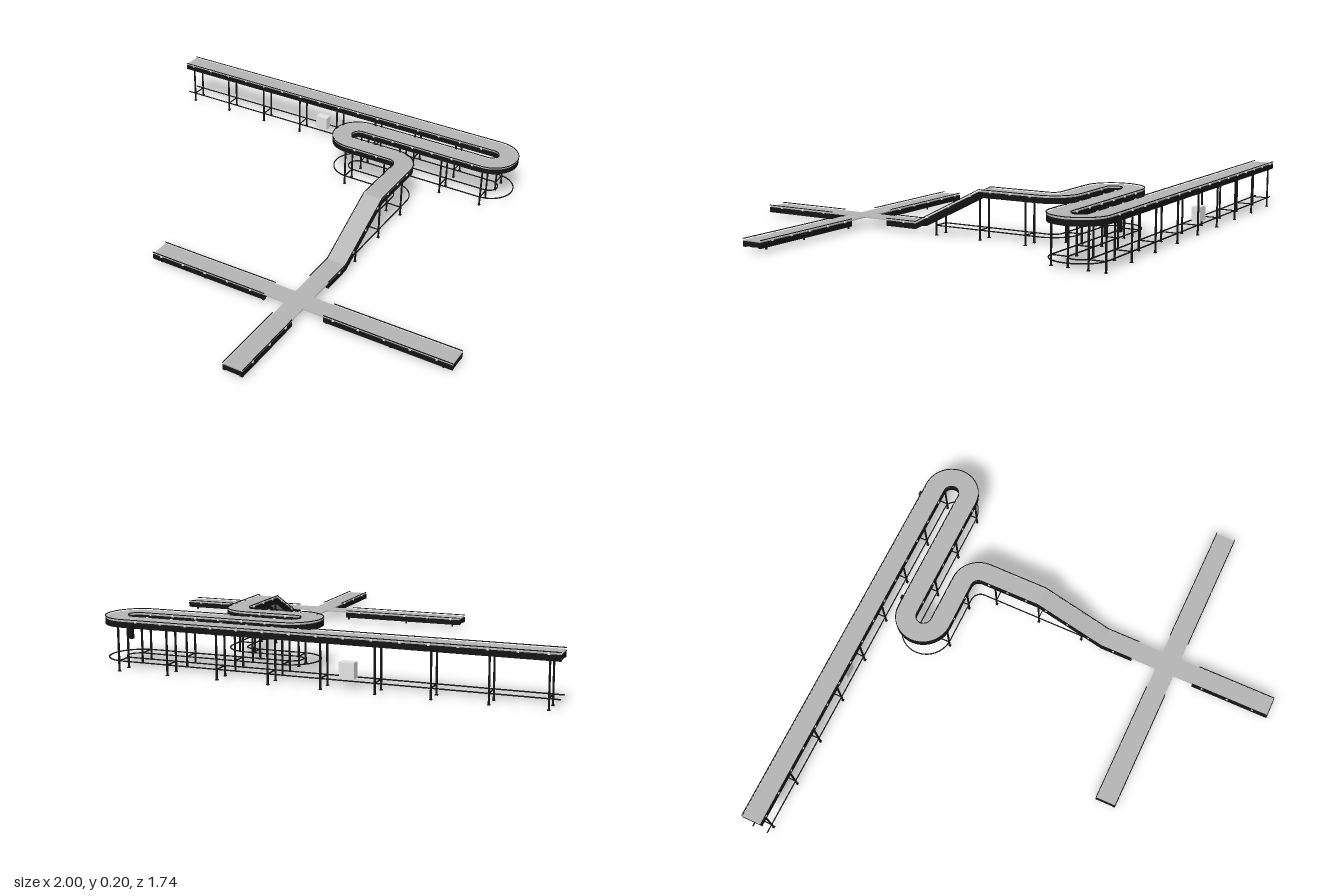
import * as THREE from 'three';
import { toCreasedNormals } from 'three/addons/utils/BufferGeometryUtils.js';

const HIGH = 0.197, LOW = 0.047, HALF = 0.0425, LEG = 0.033;
const LINE_X = 0.342, CROSS_Z = 0.4045;

// Sweep a rectangle (side range s0..s1, height range y0..y1) along a path of Vector3
function sweep(path, s0, s1, y0, y1) {
  const section = [[s0, y0], [s1, y0], [s1, y1], [s0, y1]];
  const pos = [], idx = [], n = path.length;
  path.forEach((p, i) => {
    const a = path[Math.max(i - 1, 0)], b = path[Math.min(i + 1, n - 1)];
    const t = new THREE.Vector2(b.x - a.x, b.z - a.z).normalize();
    for (const [s, y] of section) pos.push(p.x - t.y * s, p.y + y, p.z + t.x * s);
  });
  for (let i = 0; i < n - 1; i++) {
    for (let j = 0; j < 4; j++) {
      const a = i * 4 + j, b = i * 4 + (j + 1) % 4, c = b + 4, d = a + 4;
      idx.push(a, d, c, a, c, b);
    }
  }
  const e = (n - 1) * 4;
  idx.push(0, 1, 2, 0, 2, 3, e, e + 2, e + 1, e, e + 3, e + 2);
  const g = new THREE.BufferGeometry();
  g.setAttribute('position', new THREE.Float32BufferAttribute(pos, 3));
  g.setIndex(idx);
  return toCreasedNormals(g, 0.4);
}

export function createModel() {
  const model = new THREE.Group();
  model.name = 'conveyorSystem';
  const material = (name, color) => {
    const m = new THREE.MeshStandardMaterial({ color });
    m.name = name;
    return m;
  };
  const beltGrey = material('beltGrey', 0xb6b6b6);
  const frameBlack = material('frameBlack', 0x151515);
  const paleGrey = material('paleGrey', 0xe4e4e4);

  const add = (name, geometry, mat, x = 0, y = 0, z = 0) => {
    const mesh = new THREE.Mesh(geometry, mat);
    mesh.name = name;
    mesh.position.set(x, y, z);
    model.add(mesh);
    return mesh;
  };
  const box = (name, mat, w, h, d, x, y, z) => add(name, new THREE.BoxGeometry(w, h, d), mat, x, y, z);
  const V = (x, y, z) => new THREE.Vector3(x, y, z);

  // Arc points on the ground plan; angle 0 points to +x, positive turns to +z
  const arc = (cx, cz, from, to, steps) => Array.from({ length: steps + 1 }, (_, i) => {
    const a = from + (to - from) * i / steps;
    return V(cx + 0.075 * Math.cos(a), HIGH, cz + 0.075 * Math.sin(a));
  });

  // Centre line of the winding raised conveyor, at guide rail height
  const H = Math.PI / 2;
  const winding = [
    V(-0.998, HIGH, -0.8125),
    ...arc(0.6215, -0.7375, -H, H, 20),
    ...arc(0.0575, -0.5875, -H, -3 * H, 20),
    ...arc(LINE_X - 0.075, -0.4375, -H, 0, 10),
    V(LINE_X, HIGH, -0.18),
  ];
  const mainFrame = [...winding, V(LINE_X, LOW, 0.115), V(LINE_X, LOW, 0.255)];
  const at = x => V(x, LOW, CROSS_Z);

  // Belts, which run on through the crossing
  const belt = (path, drop) => add('belt', sweep(path, -0.0405, 0.0405, -0.008 - drop, -0.004 - drop), beltGrey);
  belt([...mainFrame, V(LINE_X, LOW, 0.865)], 0);
  belt([at(-0.313), at(0.998)], 0.0004);

  // Side frames with inward flanges, guide rails, end ties and rail brackets
  const frames = [
    mainFrame,
    [V(LINE_X, LOW, 0.53), V(LINE_X, LOW, 0.868)],
    [at(-0.316), at(0.21)],
    [at(0.47), at(1)],
  ];
  const bracketGeometry = new THREE.BoxGeometry(0.008, 0.008, 0.008);
  for (const path of frames) {
    for (const side of [-1, 1]) {
      const range = (a, b) => side > 0 ? [a, b] : [-b, -a];
      add('sideFrame', sweep(path, ...range(0.0385, HALF), -0.03, -0.0085), frameBlack);
      add('frameFlange', sweep(path, ...range(0.03, 0.039), -0.03, -0.026), frameBlack);
      add('guideRail', sweep(path, ...range(0.0405, 0.0435), -0.001, 0.002), frameBlack);
    }
    for (const [p, q] of [[path[0], path[1]], [path.at(-1), path.at(-2)]]) {
      const along = q.clone().sub(p).setY(0).normalize();
      const c = p.clone().addScaledVector(along, 0.003);
      const isX = Math.abs(along.x) > 0.5;
      box('endTie', frameBlack, isX ? 0.006 : 0.078, 0.018, isX ? 0.078 : 0.006, c.x, c.y - 0.018, c.z);
    }
    for (let i = 0; i < path.length - 1; i++) {
      const a = path[i], b = path[i + 1], length = a.distanceTo(b);
      if (length < 0.05) continue;
      const t = b.clone().sub(a).setY(0).normalize();
      const count = Math.max(1, Math.round(length / 0.1));
      for (let k = 0; k < count; k++) {
        const p = a.clone().lerp(b, (k + 0.4) / count);
        for (const s of [-0.0415, 0.0415]) {
          add('railBracket', bracketGeometry, paleGrey, p.x - t.z * s, p.y - 0.006, p.z + t.x * s);
        }
      }
    }
  }

  // Low guide rails joining the legs
  const railPath = [...winding.map(p => V(p.x, 0.04, p.z)), V(LINE_X, 0.04, 0.02)];
  railPath[0].x = -0.998;
  for (const s of [-LEG, LEG]) {
    add('lowerRail', sweep(railPath, s - 0.002, s + 0.002, -0.002, 0.002), frameBlack);
  }

  // Pairs of legs with a tie at rail height
  const legs = (x, z, alongX, top) => {
    for (const s of [-LEG, LEG]) {
      const px = alongX ? x : x + s, pz = alongX ? z + s : z;
      box('leg', frameBlack, 0.006, top, 0.006, px, top / 2, pz);
      box('footPlate', frameBlack, 0.01, 0.003, 0.01, px, 0.0015, pz);
    }
    box('legTie', frameBlack, alongX ? 0.004 : 2 * LEG, 0.004, alongX ? 2 * LEG : 0.004, x, 0.04, z);
  };
  for (let i = 0; i < 9; i++) legs(-0.96 + i * 0.2, -0.8125, true, 0.17);
  for (const x of [0.05, 0.24, 0.44, 0.63]) legs(x, -0.6625, true, 0.17);
  for (const x of [0.05, 0.24]) legs(x, -0.5125, true, 0.17);
  for (const z of [-0.38, -0.18]) legs(LINE_X, z, false, 0.17);
  legs(LINE_X, 0.02, false, 0.07);

  // Stub feet under the cross conveyors
  for (const x of [-0.28, -0.07, 0.2, 0.48, 0.75, 0.96]) {
    for (const s of [-LEG, LEG]) box('stubFoot', frameBlack, 0.006, 0.01, 0.006, x, 0.013, CROSS_Z + s);
  }

  // Drive motors hanging on the back of the raised frame
  for (const [x, z] of [[0.575, -0.862], [0.105, -0.712]]) {
    box('driveMotor', frameBlack, 0.016, 0.05, 0.014, x, 0.157, z);
  }

  // Control cabinet standing on the lower rails
  box('controlCabinet', paleGrey, 0.056, 0.058, 0.036, -0.25, 0.071, -0.8105);
  return model;
}
